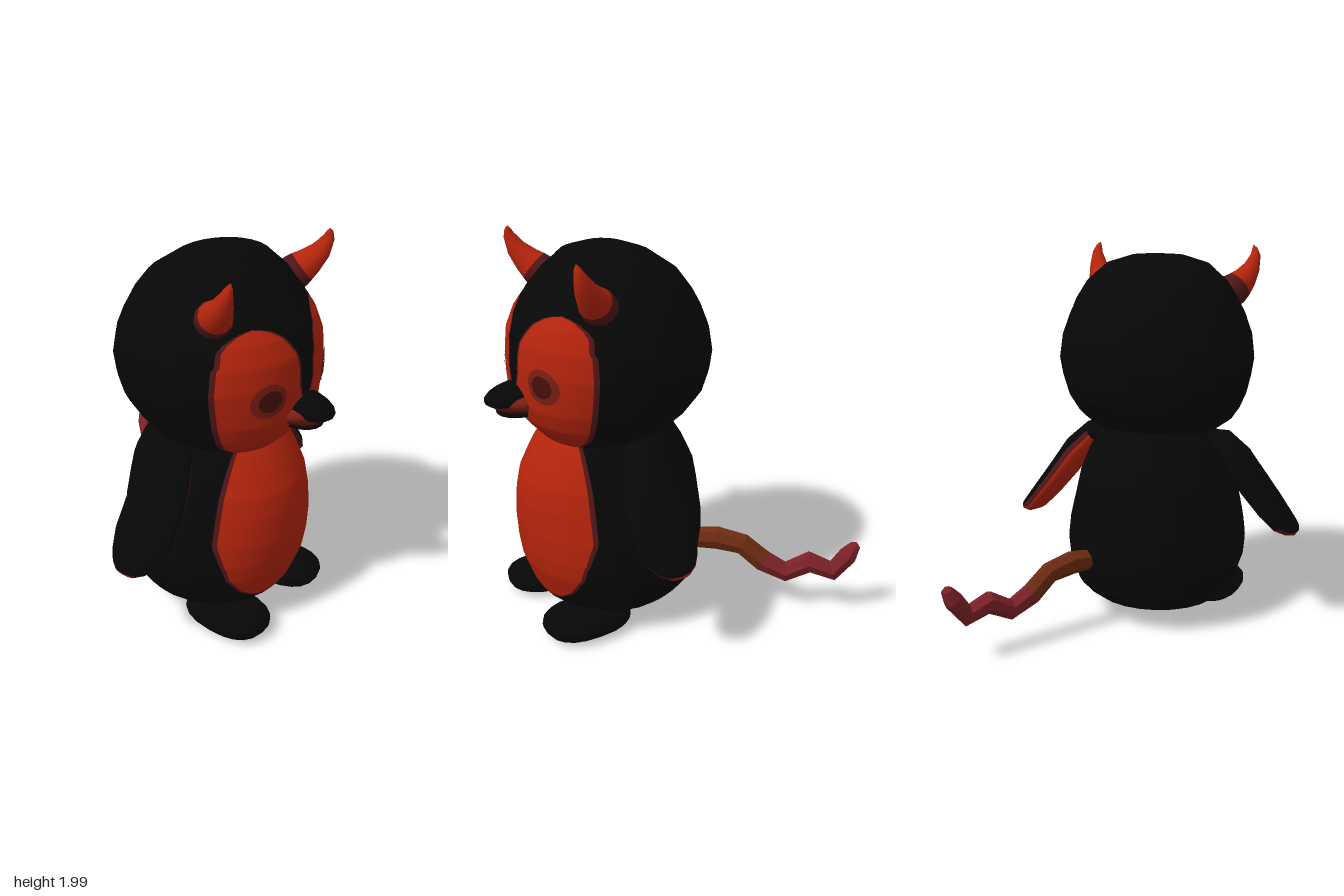
import * as THREE from 'three';
import { mergeVertices } from 'three/addons/utils/BufferGeometryUtils.js';

const paint = (name, color) => {
  const m = new THREE.MeshStandardMaterial({ color });
  m.name = name;
  return m;
};
const black = paint('plumage black', 0x070707);
const red = paint('bright red', 0xb5240c);
const edge = paint('dark maroon edge', 0x501618);
const halo = paint('eye rim red', 0x7c1f12);
const pupil = paint('pupil maroon', 0x460f0c);
const brown = paint('tail brown', 0x6e2c12);
const crimson = paint('tail crimson', 0x7c2228);
const grey = paint('underside grey', 0x857b8c);

// Linear lookup in rows sorted by their first value
function lookup(rows, y) {
  if (y <= rows[0][0]) return rows[0].slice(1);
  for (let i = 1; i < rows.length; i++) {
    if (y <= rows[i][0]) {
      const p = rows[i - 1], q = rows[i];
      const t = (y - p[0]) / (q[0] - p[0] || 1);
      return p.slice(1).map((v, k) => v + (q[k + 1] - v) * t);
    }
  }
  return rows[rows.length - 1].slice(1);
}

// Skins closed rings of points; matOf(row, column) picks the material of each quad
function skin(name, rings, matOf, faceted = false) {
  const n = rings[0].length, buckets = new Map();
  for (let i = 0; i < rings.length - 1; i++) {
    for (let j = 0; j < n; j++) {
      const a = i * n + j, b = i * n + (j + 1) % n, c = b + n, d = a + n;
      const m = matOf(i, j);
      if (!buckets.has(m)) buckets.set(m, []);
      buckets.get(m).push(a, b, c, a, c, d);
    }
  }
  let geo = new THREE.BufferGeometry().setFromPoints(rings.flat());
  const index = [], mats = [];
  for (const [m, list] of buckets) {
    geo.addGroup(index.length, list.length, mats.length);
    mats.push(m);
    for (const v of list) index.push(v);
  }
  geo.setIndex(index);
  geo = mergeVertices(geo, 1e-4);
  if (faceted) geo = geo.toNonIndexed();
  geo.computeVertexNormals();
  const mesh = new THREE.Mesh(geo, mats);
  mesh.name = name;
  return mesh;
}

// Sweeps an oval along sections [x, y, z, radius along side, other radius]
function loft(name, sections, sides, side, matOf, faceted) {
  const pts = sections.map(s => new THREE.Vector3(s[0], s[1], s[2]));
  const rings = sections.map((s, i) => {
    const T = pts[Math.min(i + 1, pts.length - 1)].clone().sub(pts[Math.max(i - 1, 0)]).normalize();
    const A = side.clone().addScaledVector(T, -side.dot(T)).normalize();
    const B = T.clone().cross(A);
    return Array.from({ length: sides }, (_, j) => {
      const t = j / sides * Math.PI * 2;
      return pts[i].clone().addScaledVector(A, s[3] * Math.cos(t)).addScaledVector(B, s[4] * Math.sin(t));
    });
  });
  return skin(name, rings, matOf, faceted);
}

// Rounded trunk from rows [y, half width, front z, back z]. Its red patch lies between
// the inner and outer borders [y, x] and stays in front of the plane z = PATCH_Z
const PATCH_Z = 0.465;
function shell(name, rows, n, inner, outer, bottomMat) {
  const steps = 6, rings = [];
  const ring = (y, w, zf, zb) => {
    const zc = (zf + zb) / 2, d = (zf - zb) / 2;
    const f = Math.min(1, Math.abs(PATCH_Z - zc) / (d || 1));
    const b = Math.min(lookup(outer, y)[0], w * Math.pow(1 - Math.pow(f, n), 1 / n));
    const a = Math.min(lookup(inner, y)[0], b);
    const e = Math.min(0.013, (b - a) / 2), ei = Math.min(e, a);
    const ang = x => w < 1e-6 ? 0 : Math.asin(Math.pow(x / w, n / 2));
    const stops = [0, ang(a), ang(a + ei), ang(b - e), ang(b), Math.PI];
    const half = [0];
    [3, 1, 8, 1, 12].forEach((count, s) => {
      for (let k = 1; k <= count; k++) half.push(stops[s] + (stops[s + 1] - stops[s]) * k / count);
    });
    const right = half.map(t => {
      const p = Math.cos(t) > 0 ? 2 / n : 1, c = Math.cos(t);
      return new THREE.Vector3(w * Math.pow(Math.abs(Math.sin(t)), p), y,
        zc + d * Math.sign(c) * Math.pow(Math.abs(c), p));
    });
    const left = right.slice(1, -1).reverse().map(p => new THREE.Vector3(-p.x, p.y, p.z));
    return right.concat(left);
  };
  for (let i = 0; i < rows.length - 1; i++) {
    for (let k = 0; k < steps; k++) {
      rings.push(ring(...rows[i].map((v, c) => v + (rows[i + 1][c] - v) * k / steps)));
    }
  }
  rings.push(ring(...rows[rows.length - 1]));
  return skin(name, rings, (i, j) => {
    if (i < steps) return bottomMat;
    const k = j < 25 ? j : 49 - j;
    return k < 3 || k > 12 ? black : k === 3 || k === 12 ? edge : red;
  });
}

const headRows = [
  [0.98, 0.2, 0.5, 0], [1.03, 0.3, 0.575, -0.03], [1.1, 0.4, 0.64, -0.12], [1.15, 0.435, 0.68, -0.19],
  [1.24, 0.475, 0.715, -0.27], [1.34, 0.5, 0.72, -0.3], [1.43, 0.515, 0.72, -0.31],
  [1.55, 0.5, 0.71, -0.29], [1.65, 0.465, 0.672, -0.25], [1.69, 0.447, 0.642, -0.228],
  [1.715, 0.436, 0.622, -0.214], [1.74, 0.425, 0.605, -0.2], [1.83, 0.37, 0.53, -0.13],
  [1.92, 0.27, 0.43, 0], [1.96, 0.14, 0.33, 0.11], [1.97, 0, 0.22, 0.22]];
const faceInner = [[1.3, 0], [1.34, 0.03], [1.4, 0.05], [1.5, 0.053], [1.57, 0.07], [1.62, 0.098],
  [1.66, 0.13], [1.69, 0.17], [1.705, 0.21], [1.713, 0.255]];
const faceOuter = [[1.5, 0.48], [1.57, 0.43], [1.63, 0.41], [1.66, 0.385], [1.69, 0.34], [1.705, 0.3],
  [1.713, 0.255]];
const bodyRows = [
  [0.055, 0, 0.25, 0.25], [0.064, 0.2, 0.45, 0.1], [0.072, 0.27, 0.48, 0], [0.1, 0.34, 0.53, -0.1],
  [0.15, 0.4, 0.61, -0.17], [0.2, 0.435, 0.64, -0.22], [0.335, 0.48, 0.69, -0.26],
  [0.43, 0.49, 0.705, -0.27], [0.55, 0.475, 0.715, -0.27], [0.7, 0.44, 0.71, -0.25],
  [0.81, 0.415, 0.69, -0.23], [0.92, 0.37, 0.64, -0.18], [1, 0.33, 0.595, -0.13],
  [1.07, 0.28, 0.55, -0.09], [1.1, 0.2, 0.4, 0]];
const bellyOuter = [[0.15, 0], [0.16, 0.11], [0.19, 0.2], [0.25, 0.29], [0.35, 0.365], [0.45, 0.395],
  [0.55, 0.41]];
const HEAD_N = 2.2;

// Round plate hugging the front of the head
function eyePlate(name, x, y, r, lift, mat) {
  const geo = new THREE.RingGeometry(0, r, 24, 4).translate(x, y, 0), p = geo.attributes.position;
  for (let i = 0; i < p.count; i++) {
    const [w, zf, zb] = lookup(headRows, p.getY(i)), zc = (zf + zb) / 2;
    const f = 1 - Math.pow(Math.abs(p.getX(i)) / w, HEAD_N);
    p.setZ(i, zc + (zf - zc) * Math.pow(f, 1 / HEAD_N) + lift);
  }
  geo.computeVertexNormals();
  const mesh = new THREE.Mesh(geo, mat);
  mesh.name = name;
  return mesh;
}

function blob(name, mat, pos, scale) {
  const mesh = new THREE.Mesh(new THREE.SphereGeometry(1, 20, 14), mat);
  mesh.name = name;
  mesh.position.set(...pos);
  mesh.scale.set(...scale);
  return mesh;
}

export function createModel() {
  const model = new THREE.Group();
  model.name = 'horned penguin';
  model.add(shell('body', bodyRows, 2, [[0, 0]], bellyOuter, grey));
  model.add(shell('head', headRows, HEAD_N, faceInner, faceOuter, black));

  // Beak: black pointed upper half, red corners, dark open mouth, black lower half
  const upper = blob('upperBeak', black, [0, 1.278, 0.69], [0.115, 0.06, 0.185]);
  upper.rotation.x = 0.14;
  model.add(upper);
  model.add(blob('beakCorners', halo, [0, 1.252, 0.69], [0.145, 0.06, 0.115]));
  model.add(blob('mouth', pupil, [0, 1.222, 0.69], [0.12, 0.04, 0.14]));
  model.add(blob('lowerBeak', black, [0, 1.19, 0.69], [0.095, 0.032, 0.125]));

  const zAxis = new THREE.Vector3(0, 0, 1);
  for (const s of [1, -1]) {
    const tag = s > 0 ? 'left' : 'right';
    const flip = rows => rows.map(([x, ...rest]) => [x * s, ...rest]);

    model.add(eyePlate(tag + 'EyeRim', s * 0.25, 1.38, 0.088, 0.004, halo));
    model.add(eyePlate(tag + 'Pupil', s * 0.25, 1.38, 0.056, 0.008, pupil));

    // Horn with a dark band where it meets the head
    model.add(loft(tag + 'Horn', flip([
      [0.32, 1.735, 0.39, 0.092, 0.09], [0.365, 1.775, 0.43, 0.09, 0.087], [0.382, 1.793, 0.447, 0.083, 0.08],
      [0.408, 1.825, 0.478, 0.07, 0.066], [0.437, 1.88, 0.52, 0.052, 0.046], [0.452, 1.945, 0.55, 0.03, 0.027],
      [0.445, 1.98, 0.558, 0.016, 0.015], [0.437, 2, 0.56, 0, 0]]), 12, zAxis, i => i < 2 ? edge : red));

    // Flipper: black outside, red inside; the right one is black on its rear inner half
    const flipperMat = (i, j) => {
      if (s > 0) return j > 8 || i < 1 ? black : j === 0 || j === 8 ? edge : red;
      const first = i > 4 ? 8 : 11;
      return j < first || i < 1 ? black : j === 15 || j === first ? edge : red;
    };
    model.add(loft(tag + 'Flipper', flip([
      [0.27, 1.02, 0.21, 0.04, 0.03], [0.36, 0.99, 0.21, 0.1, 0.065], [0.45, 0.895, 0.21, 0.145, 0.078],
      [0.54, 0.77, 0.21, 0.17, 0.073], [0.635, 0.65, 0.21, 0.165, 0.066], [0.705, 0.57, 0.21, 0.135, 0.058],
      [0.75, 0.54, 0.21, 0.1, 0.043], [0.78, 0.53, 0.21, 0.06, 0.028], [0.795, 0.53, 0.21, 0, 0]]),
      16, zAxis, flipperMat));

    // Foot: blunt oval with a flattened sole
    const foot = blob(tag + 'Foot', black, [s * 0.26, 0.075, 0.475], [0.165, 0.072, 0.235]);
    const p = foot.geometry.attributes.position;
    const blunt = v => Math.sign(v) * Math.pow(Math.abs(v), 0.8);
    for (let i = 0; i < p.count; i++) {
      p.setXYZ(i, blunt(p.getX(i)), Math.max(blunt(p.getY(i)), -0.95), blunt(p.getZ(i)));
    }
    foot.geometry.computeVertexNormals();
    foot.rotation.y = s * 0.1;
    model.add(foot);
  }

  // Zigzag tail leaving the back on a diagonal, [z, y, half height]
  const tail = [[-0.1, 0.38, 0.05], [-0.26, 0.39, 0.065], [-0.37, 0.365, 0.058], [-0.46, 0.275, 0.06],
    [-0.56, 0.22, 0.055], [-0.66, 0.29, 0.06], [-0.76, 0.25, 0.055], [-0.82, 0.35, 0.05],
    [-0.845, 0.41, 0.03], [-0.85, 0.43, 0]]
    .map(([z, y, r]) => [0.28 + (-0.2 - z) * 0.73, y, z, Math.min(r, 0.048), r]);
  model.add(loft('tail', tail, 7, new THREE.Vector3(0.81, 0, 0.59), i => i < 3 ? brown : crimson, true));
  return model;
}
